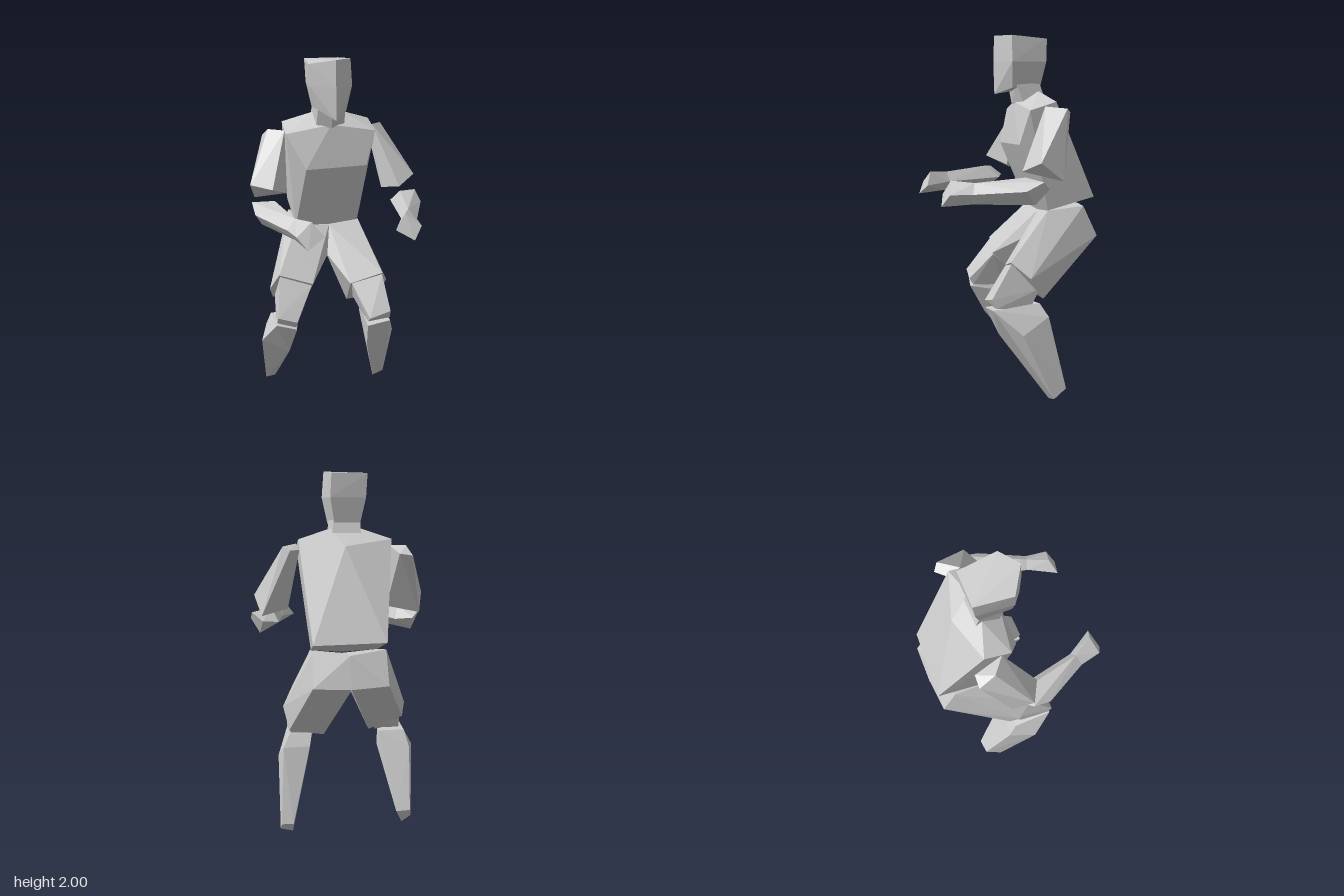
import * as THREE from 'three';
import { ConvexGeometry } from 'three/addons/geometries/ConvexGeometry.js';

const mirror = (pts) => pts.map(([x, y, z]) => [-x, y, z]);

export function createModel() {
  const model = new THREE.Group();
  model.name = 'crouchingFigure';
  const grey = new THREE.MeshStandardMaterial({ color: 0xcccccc, flatShading: true });
  grey.name = 'plainGrey';

  // Each body part is a faceted convex block spanned by its corner points
  const part = (name, ...sections) => {
    const pts = sections.flat().map((p) => new THREE.Vector3(...p));
    const mesh = new THREE.Mesh(new ConvexGeometry(pts), grey);
    mesh.name = name;
    model.add(mesh);
  };

  // Head: five-sided with a front ridge, tapering to the chin
  part('head',
    [[-0.155, 1.975, -0.005], [-0.03, 2, 0.08], [0.07, 2, 0.01], [0.06, 1.985, -0.195], [-0.13, 1.985, -0.2]],
    [[-0.147, 1.86, 0], [-0.03, 1.86, 0.085], [0.08, 1.86, 0.01], [0.065, 1.86, -0.19], [-0.125, 1.86, -0.19]],
    [[-0.115, 1.74, 0], [-0.028, 1.685, 0.08], [0.05, 1.72, 0], [0.04, 1.73, -0.165], [-0.1, 1.73, -0.165]]);

  part('neck',
    [[-0.1, 1.75, -0.02], [-0.025, 1.73, 0.0], [0.05, 1.75, -0.02], [0.045, 1.74, -0.16], [-0.1, 1.74, -0.16]],
    [[-0.1, 1.64, -0.06], [-0.025, 1.63, -0.02], [0.06, 1.64, -0.06], [0.06, 1.62, -0.2], [-0.1, 1.62, -0.2]]);

  // Torso: shoulders, chest edge, waist
  part('torso',
    [[-0.1, 1.7, -0.15], [0.06, 1.7, -0.15], [-0.025, 1.645, -0.03]],
    [[-0.27, 1.6, -0.07], [0.23, 1.6, -0.04], [0.235, 1.645, -0.185], [-0.26, 1.645, -0.21], [0, 1.61, -0.27]],
    [[-0.175, 1.41, 0], [0.17, 1.415, 0]],
    [[-0.2, 1.045, -0.165], [0, 1.035, -0.165], [0.17, 1.05, -0.165], [0.195, 1.12, -0.43], [-0.185, 1.13, -0.46]]);

  // Upper arms: shoulder section, then elbow section
  part('leftUpperArm',
    [[0.24, 1.62, -0.12], [0.32, 1.61, -0.215], [0.285, 1.59, -0.245], [0.23, 1.59, -0.19]],
    [[0.35, 1.29, 0.045], [0.46, 1.34, -0.02], [0.43, 1.24, -0.155], [0.28, 1.265, -0.06]]);
  part('rightUpperArm',
    [[-0.265, 1.61, -0.12], [-0.345, 1.61, -0.19], [-0.36, 1.56, -0.28], [-0.29, 1.57, -0.275]],
    [[-0.37, 1.32, 0.03], [-0.48, 1.34, -0.035], [-0.44, 1.24, -0.14], [-0.27, 1.27, -0.07]]);

  // Forearms and hands are mirrored
  const elbow = [[0.475, 1.245, -0.03], [0.475, 1.2, 0.065], [0.43, 1.125, 0], [0.33, 1.19, -0.04], [0.36, 1.26, 0.03], [0.42, 1.2, -0.08]];
  const wrist = [[0.355, 1.18, 0.31], [0.315, 1.125, 0.31], [0.275, 1.18, 0.28], [0.31, 1.235, 0.29]];
  const fist = [[0.335, 1.18, 0.425], [0.285, 1.115, 0.46], [0.19, 1.17, 0.43], [0.25, 1.245, 0.4]];
  part('leftForearm', elbow, wrist);
  part('leftHand', wrist, fist);
  part('rightForearm', mirror(elbow), mirror(wrist));
  part('rightHand', mirror(wrist), mirror(fist));

  // Thighs: hip section, then knee section; they meet at the centre
  part('leftThigh',
    [[0, 1.03, -0.17], [0.175, 1.05, -0.165], [0.19, 1.07, -0.37], [0, 1.06, -0.415], [0.2, 0.9, -0.45], [0, 0.89, -0.46], [-0.03, 0.87, -0.1]],
    [[0.065, 0.735, 0.05], [0.25, 0.79, 0.075], [0.31, 0.705, -0.02], [0.285, 0.585, -0.1], [0.095, 0.56, -0.125]]);
  part('rightThigh',
    [[-0.2, 1.045, -0.165], [0, 1.03, -0.17], [0, 1.06, -0.415], [-0.2, 1.08, -0.37], [-0.2, 0.9, -0.45], [0, 0.89, -0.46], [-0.03, 0.87, -0.1]],
    [[-0.345, 0.82, 0.02], [-0.16, 0.76, 0.055], [-0.385, 0.71, -0.06], [-0.36, 0.64, -0.11], [-0.16, 0.58, -0.13]]);

  // Knee blocks
  part('leftKnee',
    [[0.075, 0.735, 0.05], [0.25, 0.78, 0.07], [0.28, 0.64, -0.08], [0.12, 0.6, -0.1]],
    [[0.14, 0.565, 0.19], [0.265, 0.595, 0.185], [0.14, 0.535, 0.16], [0.27, 0.545, 0.16], [0.15, 0.53, -0.03], [0.27, 0.53, -0.03]]);
  part('rightKnee',
    [[-0.34, 0.81, 0.02], [-0.165, 0.75, 0.05], [-0.18, 0.62, -0.1], [-0.35, 0.66, -0.1]],
    [[-0.385, 0.62, 0.155], [-0.28, 0.585, 0.165], [-0.385, 0.58, 0.13], [-0.28, 0.545, 0.14], [-0.22, 0.55, -0.03], [-0.36, 0.55, -0.03]]);

  // Shins: knee, calf, ankle
  part('leftShin',
    [[0.13, 0.52, 0.185], [0.265, 0.535, 0.18], [0.15, 0.55, -0.05], [0.28, 0.56, -0.08]],
    [[0.15, 0.36, 0.11], [0.335, 0.4, 0.03], [0.32, 0.49, -0.12], [0.17, 0.49, -0.11]],
    [[0.275, 0.005, -0.14], [0.345, 0.025, -0.145], [0.345, 0.08, -0.215], [0.28, 0.08, -0.22]]);
  part('rightShin',
    [[-0.39, 0.57, 0.14], [-0.28, 0.54, 0.16], [-0.23, 0.555, -0.09], [-0.38, 0.55, -0.08]],
    [[-0.455, 0.43, 0.02], [-0.305, 0.36, 0.06], [-0.21, 0.49, -0.12], [-0.4, 0.46, -0.13]],
    [[-0.4, 0.07, -0.19], [-0.335, 0.055, -0.23], [-0.29, 0.14, -0.285], [-0.37, 0.14, -0.28]]);

  return model;
}
